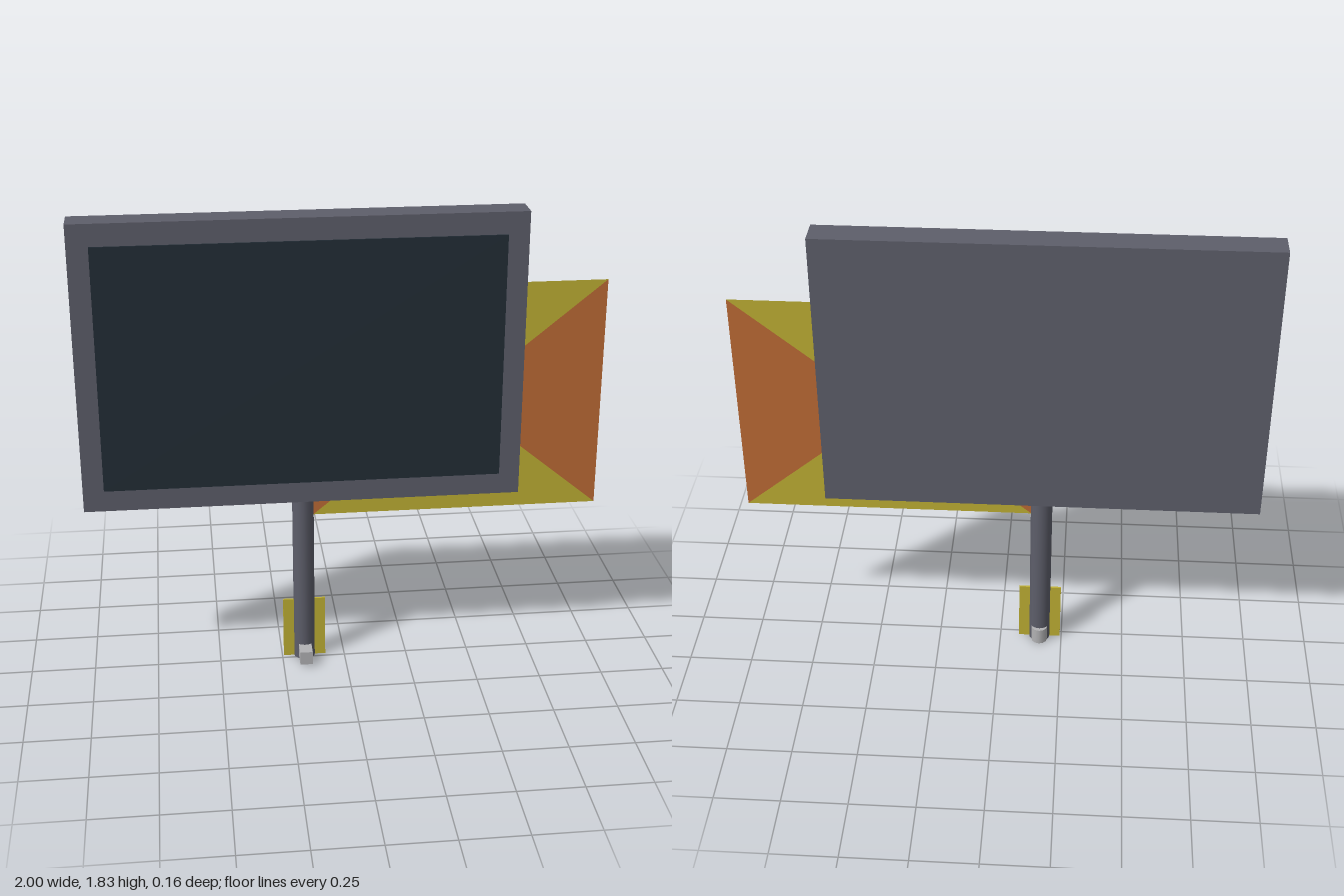
import * as THREE from 'three';

export function createModel() {
  const model = new THREE.Group();
  model.name = 'displaySign';

  const mat = (name, color, extra = {}) => {
    const m = new THREE.MeshStandardMaterial({ color, ...extra });
    m.name = name;
    return m;
  };
  const frameGrey = mat('frameGrey', 0x5d5e6a);
  const screenDark = mat('screenDark', 0x222d36);
  const yellow = mat('yellow', 0xbfb034, { side: THREE.DoubleSide });
  const orange = mat('orange', 0xbe6b35, { side: THREE.DoubleSide });
  const lightGrey = mat('lightGrey', 0xb2b2b4);

  const add = (name, geometry, material) => {
    const mesh = new THREE.Mesh(geometry, material);
    mesh.name = name;
    model.add(mesh);
    return mesh;
  };
  // Box given by its minimum and maximum corners
  const box = (name, material, [x0, y0, z0], [x1, y1, z1]) =>
    add(name, new THREE.BoxGeometry(x1 - x0, y1 - y0, z1 - z0), material)
      .position.set((x0 + x1) / 2, (y0 + y1) / 2, (z0 + z1) / 2);

  const poleX = -0.16, poleZ = -0.022;

  // Display housing and its screen
  box('housing', frameGrey, [-1, 0.705, -0.08], [0.68, 1.83, 0.03]);
  box('screen', screenDark, [-0.92, 0.79, 0.028], [0.6, 1.745, 0.036]);

  // Support pole
  add('pole', new THREE.CylinderGeometry(0.042, 0.042, 0.72, 16), frameGrey)
    .position.set(poleX, 0.36, poleZ);

  // Flag: four triangles meeting at the centre, sides orange, top and bottom yellow
  const left = -0.12, right = 1, low = 0.625, high = 1.545;
  const centre = [(left + right) / 2, (low + high) / 2];
  const corners = [[left, low], [right, low], [right, high], [left, high]];
  const names = ['flagBottom', 'flagRight', 'flagTop', 'flagLeft'];
  names.forEach((name, i) => {
    const points = [corners[i], corners[(i + 1) % 4], centre];
    const shape = new THREE.Shape(points.map(([x, y]) => new THREE.Vector2(x, y)));
    add(name, new THREE.ShapeGeometry(shape), i % 2 ? orange : yellow).position.z = poleZ;
  });

  // Fins on both sides of the pole foot
  for (const [side, name] of [[1, 'leftFin'], [-1, 'rightFin']]) {
    const fin = add(name, new THREE.BoxGeometry(0.053, 0.255, 0.008), yellow);
    fin.position.set(poleX + side * 0.0575, 0.1275, poleZ);
  }

  // Front block and rear socket at the foot
  box('frontBlock', lightGrey, [-0.185, 0.01, 0], [-0.135, 0.065, 0.08]);
  add('rearSocket', new THREE.CylinderGeometry(0.032, 0.032, 0.068, 12), lightGrey)
    .position.set(poleX, 0.035, -0.048);

  return model;
}
